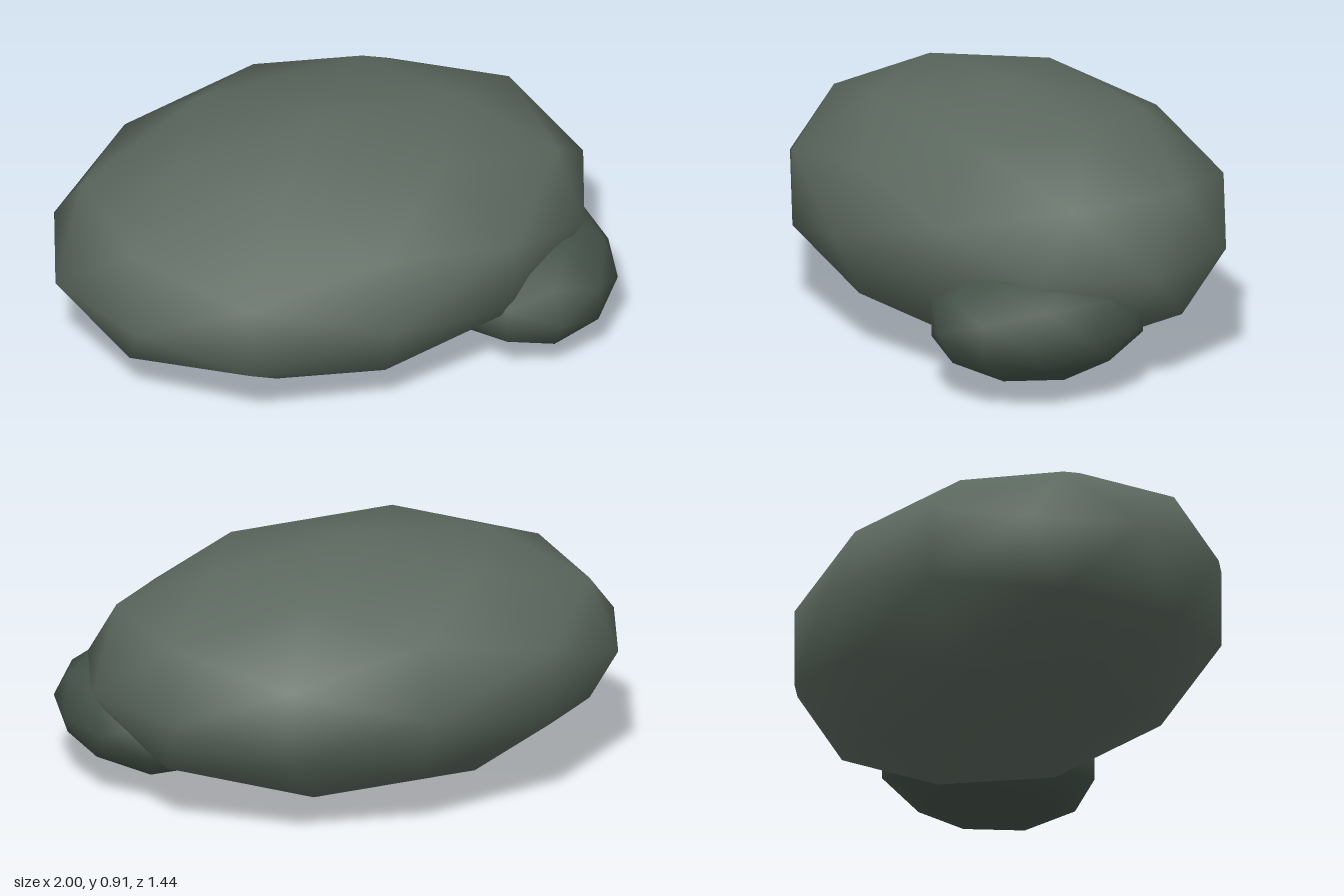
import * as THREE from 'three';

// Low-poly squashed ball with smooth normals
function boulder(name, color, radii, centre) {
  const geometry = new THREE.IcosahedronGeometry(1, 1);
  geometry.scale(...radii);
  const mesh = new THREE.Mesh(geometry, new THREE.MeshStandardMaterial({ color }));
  mesh.name = name;
  mesh.position.set(...centre);
  return mesh;
}

export function createModel() {
  const group = new THREE.Group();
  group.name = 'rocks';
  // Large flat rock
  group.add(boulder('largeRock', 0x5c695f, [1, 0.455, 0.718], [0, 0.457, 0]));
  // Small rock sunk into its front left corner
  group.add(boulder('smallRock', 0x46544a, [0.345, 0.22, 0.408], [0.64, 0.265, 0.27]));
  return group;
}
